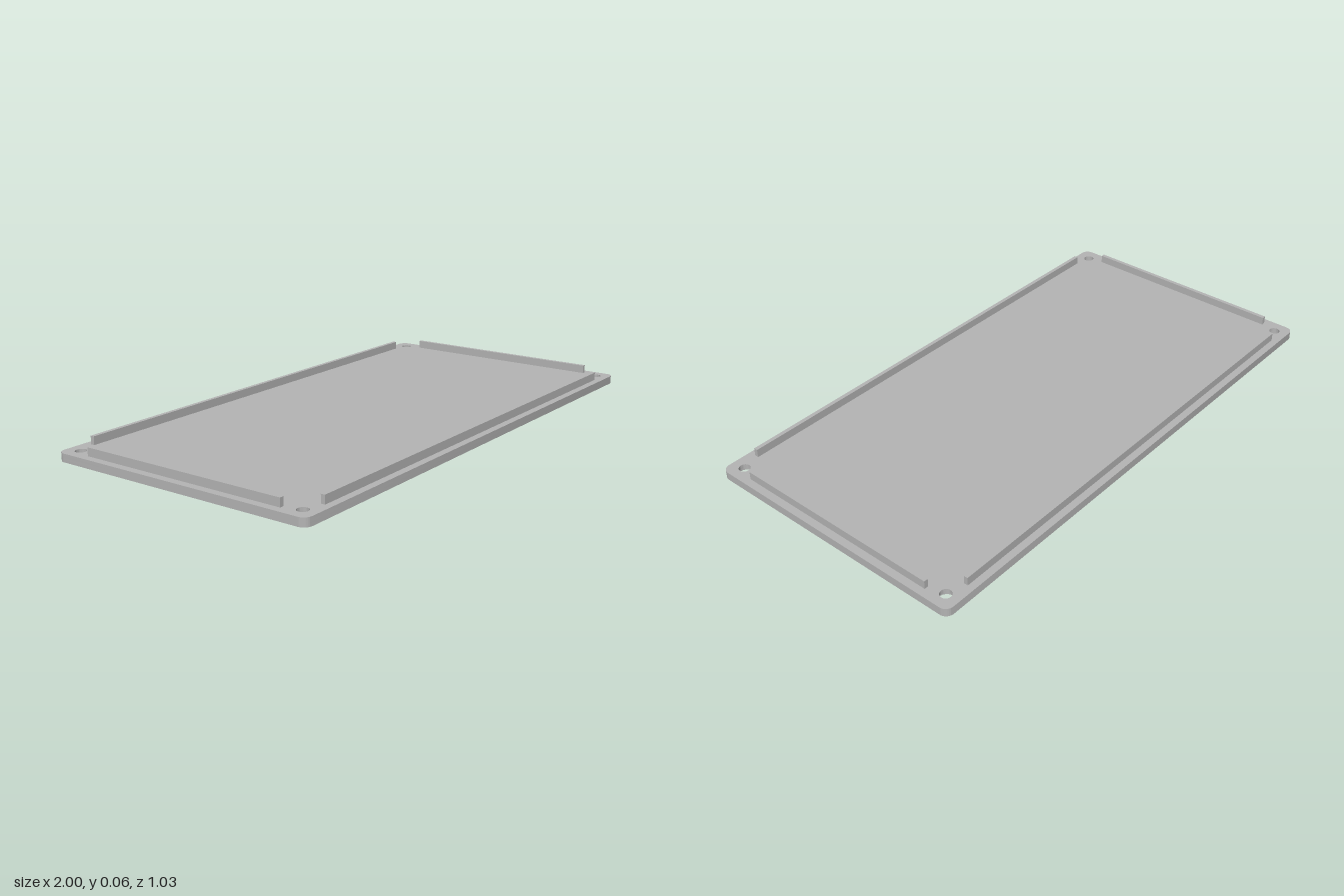
import * as THREE from 'three';
import { toCreasedNormals } from 'three/addons/utils/BufferGeometryUtils.js';

const HALF_X = 1, HALF_Z = 0.515, CORNER = 0.03;
const PLATE = 0.03, RIM_TOP = 0.06, BORE_DEPTH = 0.015;

// Rounded rectangle with a round hole near each corner
function plateLayer(holeRadius, height) {
  const s = new THREE.Shape();
  const quarter = Math.PI / 2;
  [[1, 1], [-1, 1], [-1, -1], [1, -1]].forEach(([sx, sy], i) => {
    s.absarc(sx * (HALF_X - CORNER), sy * (HALF_Z - CORNER), CORNER, i * quarter, (i + 1) * quarter, false);
    const hole = new THREE.Path();
    hole.absarc(sx * 0.947, sy * 0.462, holeRadius, 0, Math.PI * 2, true);
    s.holes.push(hole);
  });
  s.closePath();
  const g = new THREE.ExtrudeGeometry(s, { depth: height, bevelEnabled: false, curveSegments: 12 });
  g.rotateX(-Math.PI / 2);
  return toCreasedNormals(g, 0.7);
}

export function createModel() {
  const group = new THREE.Group();
  group.name = 'enclosureLid';
  const grey = new THREE.MeshStandardMaterial({ color: 0xb4b4b4 });
  grey.name = 'grey';

  const add = (name, geometry, x, y, z) => {
    const mesh = new THREE.Mesh(geometry, grey);
    mesh.name = name;
    mesh.position.set(x, y, z);
    group.add(mesh);
  };

  // Plate: wide screw recesses below, narrow screw holes above
  add('plateBottom', plateLayer(0.029, BORE_DEPTH), 0, 0, 0);
  add('plateTop', plateLayer(0.02, PLATE - BORE_DEPTH), 0, BORE_DEPTH, 0);

  // Locating ribs along the four edges
  const ribHeight = RIM_TOP - PLATE;
  const ribY = PLATE + ribHeight / 2;
  const longRib = new THREE.BoxGeometry(1.76, ribHeight, 0.015);
  const shortRib = new THREE.BoxGeometry(0.015, ribHeight, 0.8);
  add('frontRib', longRib, 0, ribY, 0.481);
  add('backRib', longRib, 0, ribY, -0.481);
  add('leftRib', shortRib, 0.965, ribY, 0);
  add('rightRib', shortRib, -0.965, ribY, 0);

  return group;
}
